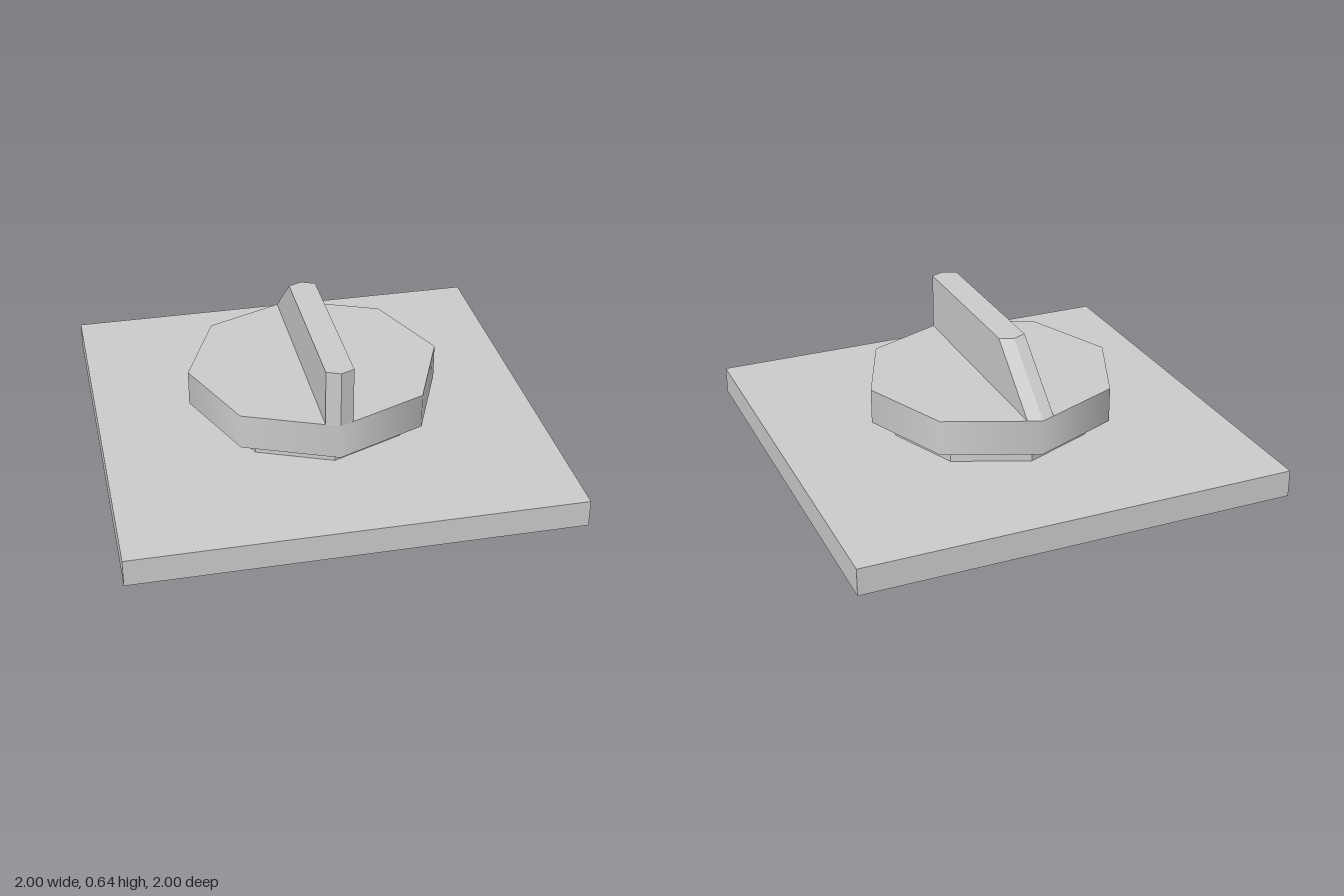
import * as THREE from 'three';

const grey = (options = {}) => new THREE.MeshStandardMaterial({ color: 0xcccccc, ...options });

function addPart(group, name, geometry, material, y = 0) {
  const mesh = new THREE.Mesh(geometry, material);
  mesh.name = name;
  mesh.position.y = y;
  group.add(mesh);
}

// Thin square tray turned upside down: a box without its bottom face
function basePlateGeometry(size, height) {
  const geometry = new THREE.BoxGeometry(size, height, size);
  const index = Array.from(geometry.index.array);
  index.splice(18, 6);
  geometry.setIndex(index);
  geometry.clearGroups();
  return geometry;
}

// Upright fin with pointed ends whose back end slopes forward towards the top
function gripGeometry(halfWidth, tip, shoulder, height, slope) {
  const outline = new THREE.Shape([
    new THREE.Vector2(0, -tip),
    new THREE.Vector2(halfWidth, -shoulder),
    new THREE.Vector2(halfWidth, shoulder),
    new THREE.Vector2(0, tip),
    new THREE.Vector2(-halfWidth, shoulder),
    new THREE.Vector2(-halfWidth, -shoulder),
  ]);
  const geometry = new THREE.ExtrudeGeometry(outline, { depth: height, bevelEnabled: false });
  geometry.rotateX(-Math.PI / 2);
  const p = geometry.attributes.position;
  for (let i = 0; i < p.count; i++) {
    if (p.getZ(i) < 0 && p.getY(i) > height / 2) p.setZ(i, p.getZ(i) + slope);
  }
  geometry.computeVertexNormals();
  return geometry;
}

export function createModel() {
  const group = new THREE.Group();
  group.name = 'rotarySwitch';

  addPart(group, 'basePlate', basePlateGeometry(2, 0.125), grey({ side: THREE.DoubleSide }), 0.0625);

  // Eight-sided neck and the wider dial on top of it
  addPart(group, 'neck', new THREE.CylinderGeometry(0.47, 0.47, 0.087, 8), grey({ flatShading: true }), 0.1685);
  addPart(group, 'dial', new THREE.CylinderGeometry(0.58, 0.58, 0.163, 8), grey(), 0.2935);

  addPart(group, 'grip', gripGeometry(0.062, 0.58, 0.554, 0.262, 0.31), grey({ flatShading: true }), 0.375);
  return group;
}
